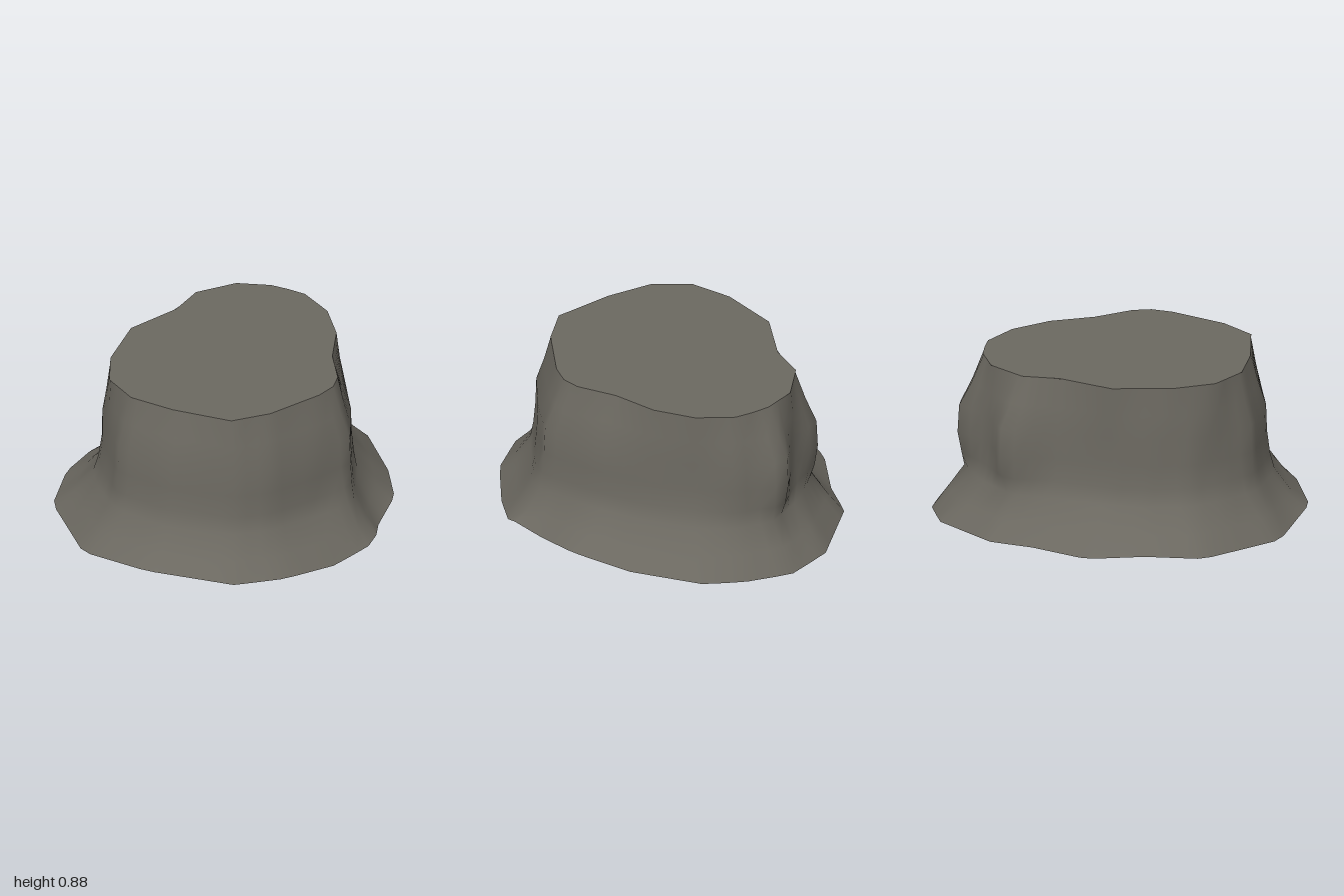
import * as THREE from 'three';

// Outlines as [x, z] corners (the rim also carries its height), clockwise from the back
const RIM = [
  [0.02, -1, 0], [0.27, -0.92, 0.01], [0.47, -0.81, 0.02], [0.7, -0.48, 0.03], [0.84, -0.18, 0.06],
  [0.84, 0.08, 0.03], [0.89, 0.26, 0.07], [0.87, 0.33, 0.04], [0.75, 0.53, 0.01], [0.56, 0.78, 0.03],
  [0.33, 0.93, 0.03], [-0.14, 0.99, 0.06], [-0.55, 0.83, 0.01], [-0.86, 0.42, 0.02], [-0.89, 0.11, 0.045],
  [-0.85, -0.2, 0.02], [-0.67, -0.48, 0.02], [-0.58, -0.7, 0.02], [-0.24, -0.96, 0.01],
];
const FOOT = [
  [0, -0.83], [0.2, -0.77], [0.38, -0.62], [0.54, -0.38], [0.66, -0.1], [0.75, 0.2], [0.74, 0.3],
  [0.61, 0.45], [0.44, 0.67], [0.27, 0.77], [-0.1, 0.81], [-0.4, 0.72], [-0.58, 0.52], [-0.66, 0.35],
  [-0.67, 0.1], [-0.63, -0.08], [-0.52, -0.36], [-0.46, -0.58], [-0.24, -0.74],
];
const WAIST = [
  [-0.04, -0.89], [0.08, -0.8], [0.2, -0.75], [0.36, -0.57], [0.5, -0.37], [0.63, -0.1], [0.73, 0.2],
  [0.6, 0.42], [0.43, 0.64], [0.27, 0.74], [-0.1, 0.77], [-0.4, 0.69], [-0.53, 0.5], [-0.61, 0.37],
  [-0.63, 0.13], [-0.61, -0.02], [-0.48, -0.36], [-0.47, -0.64], [-0.22, -0.71],
];
const TOP = [
  [-0.04, -0.73], [0.06, -0.72], [0.16, -0.7], [0.33, -0.57], [0.45, -0.37], [0.51, -0.13], [0.61, 0.07],
  [0.62, 0.17], [0.58, 0.28], [0.4, 0.55], [0.23, 0.69], [-0.1, 0.68], [-0.35, 0.63], [-0.52, 0.49],
  [-0.59, 0.27], [-0.59, -0.06], [-0.43, -0.33], [-0.39, -0.53], [-0.22, -0.69],
];
const SIDES = 72;

// Point where a ray from the centre crosses an outline
function crossing(outline, angle, height) {
  const dx = Math.sin(angle), dz = -Math.cos(angle);
  for (let i = 0; i < outline.length; i++) {
    const a = outline[i], b = outline[(i + 1) % outline.length];
    const sa = dx * a[1] - dz * a[0], sb = dx * b[1] - dz * b[0];
    if (sa <= 0 && sb > 0 && dx * a[0] + dz * a[1] > 0) {
      const t = sa / (sa - sb);
      const y = height ?? a[2] + (b[2] - a[2]) * t;
      return new THREE.Vector3(a[0] + (b[0] - a[0]) * t, y, a[1] + (b[1] - a[1]) * t);
    }
  }
  return new THREE.Vector3(0, height ?? 0, 0);
}

function ring(outline, height) {
  return Array.from({ length: SIDES }, (_, i) => crossing(outline, ((i + 0.13) / SIDES) * Math.PI * 2, height));
}

// Ring part-way between two others
function blend(a, b, t, height) {
  return a.map((p, i) => p.clone().lerp(b[i], t).setY(height));
}

// Smooth wall through a stack of rings, listed from bottom to top
function wallGeometry(rings) {
  const index = [];
  for (let r = 0; r < rings.length - 1; r++) {
    for (let i = 0; i < SIDES; i++) {
      const j = (i + 1) % SIDES;
      const a = r * SIDES + i, b = r * SIDES + j, c = a + SIDES, d = b + SIDES;
      index.push(a, c, b, b, c, d);
    }
  }
  const geometry = new THREE.BufferGeometry().setFromPoints(rings.flat());
  geometry.setIndex(index);
  geometry.computeVertexNormals();
  return geometry;
}

export function createModel() {
  const stone = new THREE.MeshStandardMaterial({ color: 0x6b6860, side: THREE.DoubleSide });
  stone.name = 'grey brown stone';

  const rim = ring(RIM), foot = ring(FOOT, 0.24), waist = ring(WAIST, 0.45), top = ring(TOP, 0.88);
  const rings = [
    rim,
    blend(foot, rim, 0.5, 0.12),
    foot,
    blend(foot, waist, 0.6, 0.33),
    waist,
    blend(waist, top, 0.06, 0.6),
    blend(waist, top, 0.55, 0.73),
    top,
  ];

  // Hollow wall with its flared foot, open below
  const wall = new THREE.Mesh(wallGeometry(rings), stone);
  wall.name = 'flaredWall';

  // Flat top
  const shape = new THREE.Shape(TOP.map(([x, z]) => new THREE.Vector2(x, -z)));
  const cap = new THREE.Mesh(new THREE.ShapeGeometry(shape).rotateX(-Math.PI / 2).translate(0, 0.88, 0), stone);
  cap.name = 'flatTop';

  const group = new THREE.Group();
  group.name = 'rockMesa';
  group.add(wall, cap);
  return group;
}
